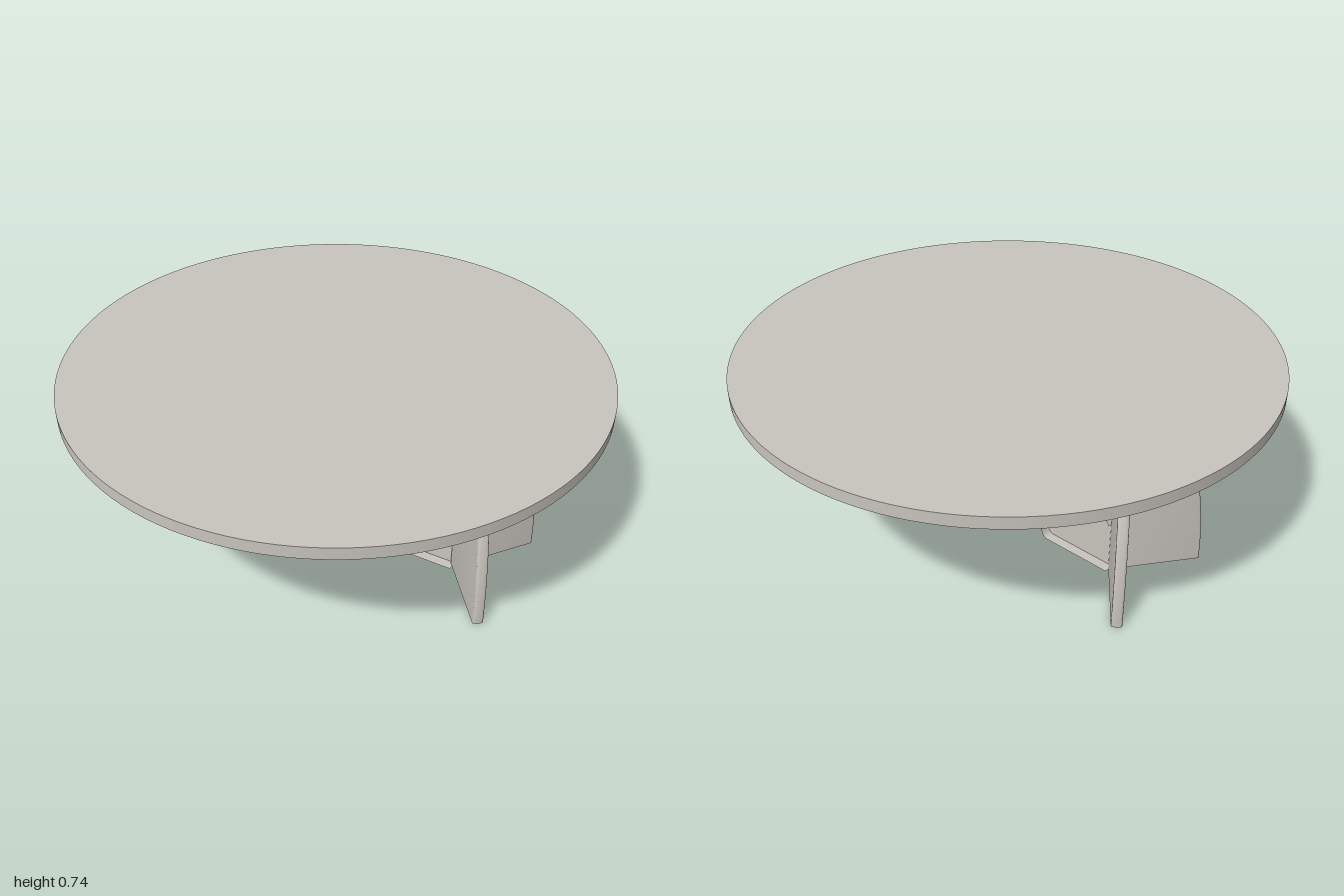
import * as THREE from 'three';
import { toCreasedNormals } from 'three/addons/utils/BufferGeometryUtils.js';

const TOP_UNDERSIDE = 0.695, TOP_HEIGHT = 0.74;
const JOINT_X = 0.53;      // where the three fins of a base meet
const SPLAY = 0.905;       // angle of the outer fins from the x axis
const FLANGE = 0.1;        // width of the rim around the inner fin

const v = (x, y) => new THREE.Vector2(x, y);

// Upright outer fin with a bowed outer edge and softly rounded corners.
function outerFinGeometry() {
  const b = 0.008, depth = 0.04;
  const shape = new THREE.Shape([v(-0.002, -b), v(0.33, -b), v(0.33, 0.02)]);
  shape.bezierCurveTo(0.326, 0.26, 0.28, 0.52, 0.137, 0.71);
  shape.lineTo(-0.002, 0.71);
  const geo = new THREE.ExtrudeGeometry(shape, {
    depth: depth - 2 * b, curveSegments: 24,
    bevelSize: b, bevelThickness: b, bevelOffset: -b, bevelSegments: 3,
  });
  geo.translate(0, 0, b - depth / 2);
  // Flat foot on the floor
  const p = geo.attributes.position;
  for (let i = 0; i < p.count; i++) p.setY(i, Math.max(0, p.getY(i)));
  return toCreasedNormals(geo, 0.6);
}

// Outline of the inner fin: the sloping edge, then the end and foot.
function innerFinPaths() {
  const slope = new THREE.Path();
  slope.moveTo(JOINT_X, 0.215);
  slope.lineTo(0.39, 0.425);
  slope.bezierCurveTo(0.345, 0.495, 0.325, 0.55, 0.325, 0.62);
  slope.lineTo(0.325, 0.7);
  const foot = new THREE.Path();
  foot.moveTo(0.215, 0.7);
  foot.lineTo(0.21, 0.09);
  foot.bezierCurveTo(0.21, 0.04, 0.222, 0.003, 0.245, 0.001);
  foot.lineTo(JOINT_X, 0.001);
  return [slope.getPoints(14), foot.getPoints(14)];
}

// Thin strip of constant width following a path in the xy plane.
function flangeGeometry(points) {
  const geo = new THREE.PlaneGeometry(1, 1, points.length - 1, 1);
  const p = geo.attributes.position, n = points.length;
  for (let i = 0; i < p.count; i++) {
    const q = points[i % n];
    p.setXYZ(i, q.x, q.y, i < n ? FLANGE / 2 : -FLANGE / 2);
  }
  return toCreasedNormals(geo, 0.6);
}

export function createModel() {
  const stone = new THREE.MeshStandardMaterial({ color: 0xc8c4bd, side: THREE.DoubleSide });
  stone.name = 'warm grey';
  const model = new THREE.Group();
  model.name = 'roundTable';

  const add = (parent, geo, name) => {
    const mesh = new THREE.Mesh(geo, stone);
    mesh.name = name;
    parent.add(mesh);
    return mesh;
  };

  // Round table top
  const thickness = TOP_HEIGHT - TOP_UNDERSIDE;
  const top = add(model, new THREE.CylinderGeometry(1, 1, thickness, 128), 'tableTop');
  top.position.y = TOP_UNDERSIDE + thickness / 2;

  const finGeo = outerFinGeometry();
  const [slope, foot] = innerFinPaths();
  const webGeo = new THREE.ExtrudeGeometry(new THREE.Shape([...slope, ...foot]),
    { depth: 0.02, bevelEnabled: false });
  webGeo.translate(0, 0, -0.01);

  // Two identical three-finned bases facing each other
  for (const side of ['left', 'right']) {
    const base = new THREE.Group();
    base.name = side + 'Base';
    for (const s of [1, -1]) {
      const fin = add(base, finGeo, s > 0 ? 'outerFinA' : 'outerFinB');
      fin.position.x = JOINT_X;
      fin.rotation.y = -s * SPLAY;
    }
    add(base, webGeo, 'innerFinWeb');
    add(base, flangeGeometry(slope), 'innerFinSlopeFlange');
    add(base, flangeGeometry(foot), 'innerFinFootFlange');
    if (side === 'right') base.rotation.y = Math.PI;
    model.add(base);
  }
  return model;
}
